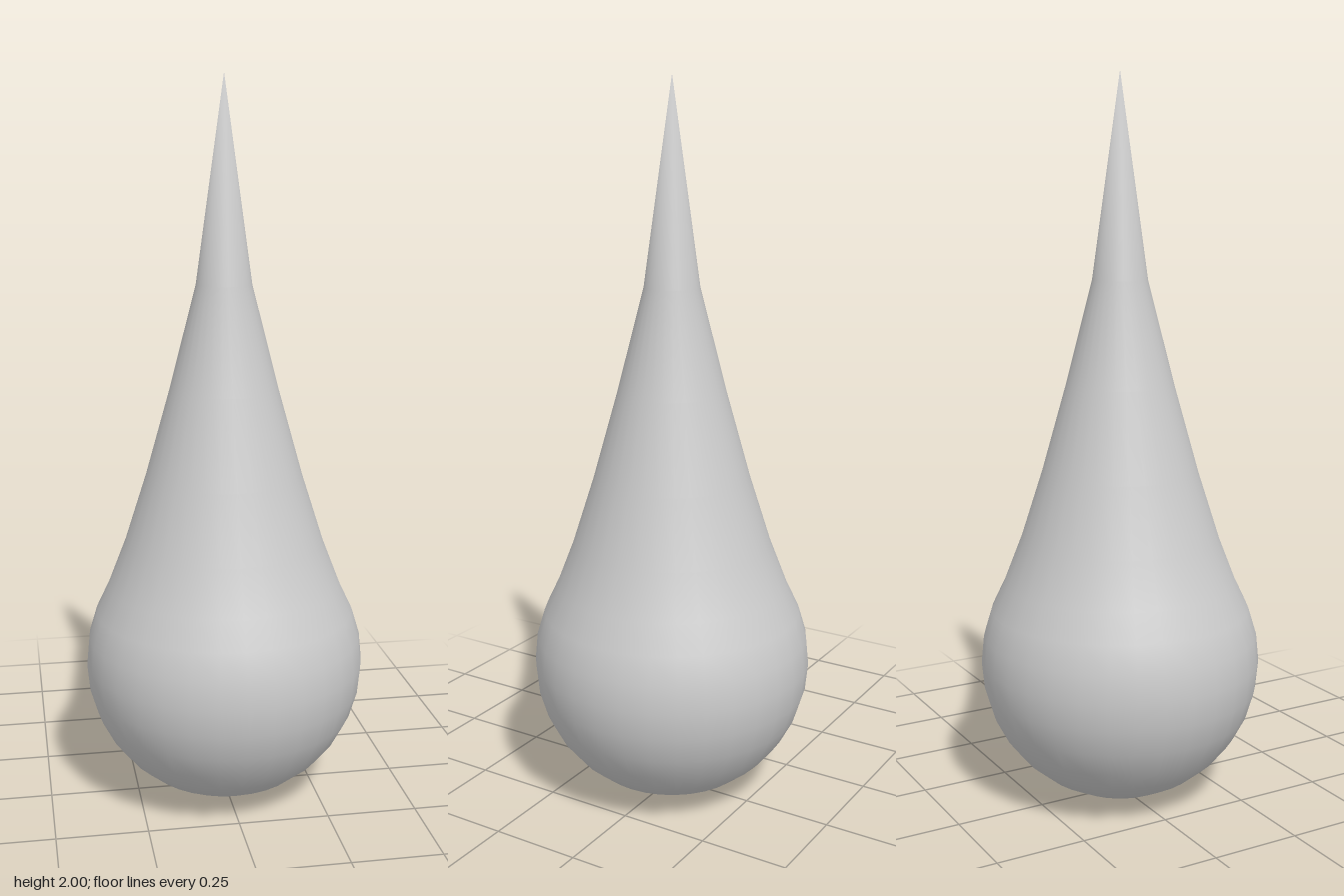
import * as THREE from 'three';
import { mergeVertices } from 'three/addons/utils/BufferGeometryUtils.js';

const RADIUS = 0.39;
const RINGS = 16;

// Heights of the drawn-out rings, from the tip down; the rest stay spherical
const TIP_HEIGHTS = [2, 1.45, 1.165, 0.925, 0.74, 0.615];

export function createModel() {
  const group = new THREE.Group();
  group.name = 'teardrop';

  // Sphere whose upper rings are pulled upwards into a point
  const sphere = new THREE.SphereGeometry(RADIUS, 32, RINGS);
  sphere.translate(0, RADIUS, 0);
  const pos = sphere.attributes.position;
  for (let i = 0; i < pos.count; i++) {
    const polar = Math.acos(THREE.MathUtils.clamp(pos.getY(i) / RADIUS - 1, -1, 1));
    const ring = Math.round((polar / Math.PI) * RINGS);
    if (ring < TIP_HEIGHTS.length) pos.setY(i, TIP_HEIGHTS[ring]);
  }

  // Weld the seam and poles so the shading is smooth all round
  sphere.deleteAttribute('normal');
  sphere.deleteAttribute('uv');
  const geometry = mergeVertices(sphere, 1e-4);
  geometry.computeVertexNormals();

  const drop = new THREE.Mesh(geometry, new THREE.MeshStandardMaterial({ color: 0xcccccc }));
  drop.name = 'drop';
  group.add(drop);
  return group;
}
